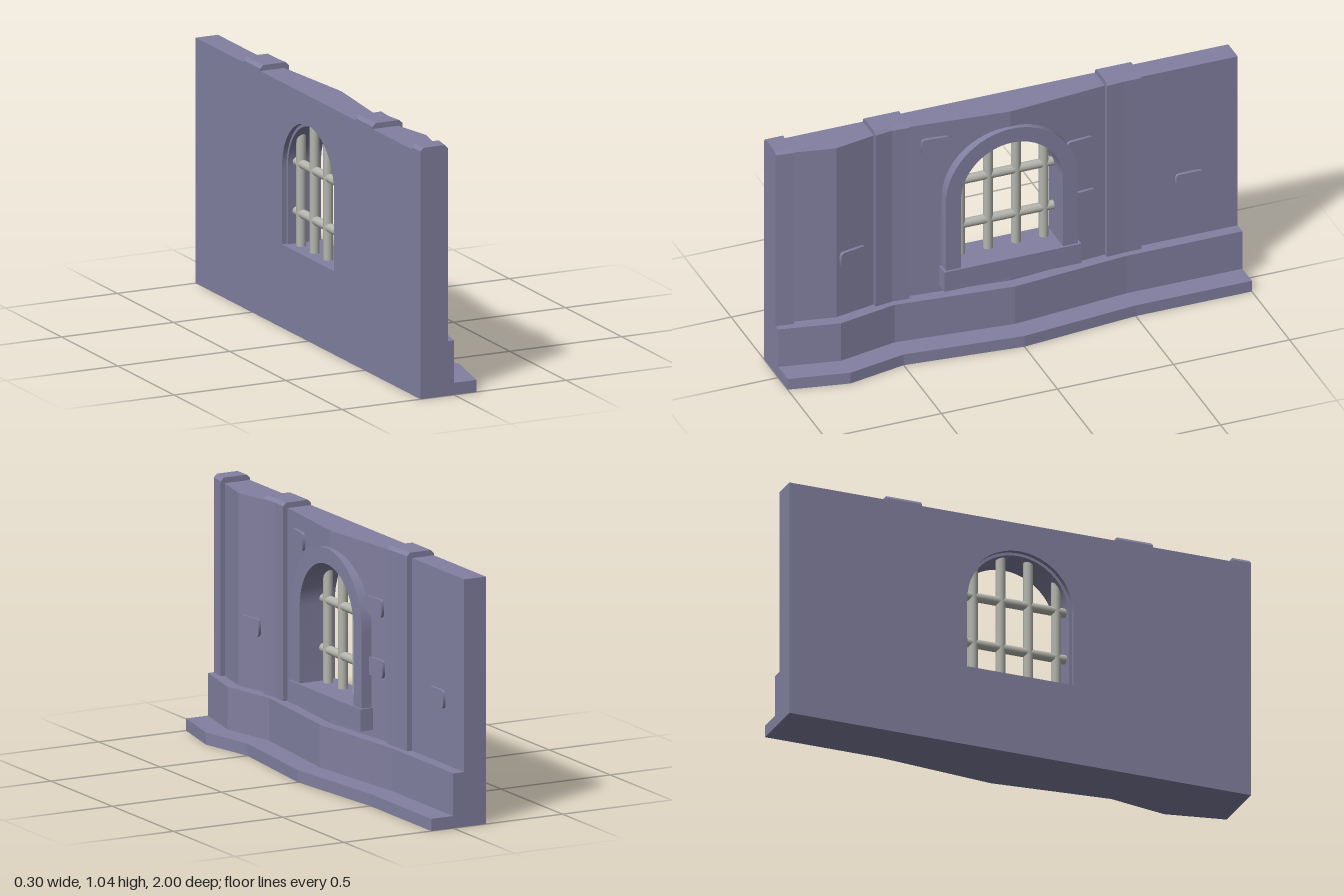
import * as THREE from 'three';
import { toCreasedNormals } from 'three/addons/utils/BufferGeometryUtils.js';

const BACK = -0.15, WALL_Y = 0.225, TOP = 1.015;
const ARCH_Y = 0.66, SILL_Y = 0.345;

// Front line of the wall in plan: [z, x]
const LINE = [[-1, -0.05], [-0.5, -0.05], [0, 0], [0.5, -0.05], [0.75, 0], [1, -0.05]];

function frontAt(z) {
  for (let i = 0; i < LINE.length - 1; i++) {
    const [z0, x0] = LINE[i], [z1, x1] = LINE[i + 1];
    if (z <= z1 + 1e-6) return x0 + (x1 - x0) * (z - z0) / (z1 - z0);
  }
  return LINE[LINE.length - 1][1];
}

// Extrude an elevation shape (drawn in -z, y) along x
function extrudeX(shape, x0, x1) {
  const g = new THREE.ExtrudeGeometry(shape, { depth: x1 - x0, bevelEnabled: false, curveSegments: 16 });
  g.rotateY(Math.PI / 2);
  g.translate(x0, 0, 0);
  return g;
}

// Move each vertex's x by a rule and refresh the normals
function bendX(g, rule) {
  const p = g.attributes.position;
  for (let i = 0; i < p.count; i++) p.setX(i, rule(p.getX(i), p.getZ(i)));
  g.computeVertexNormals();
  return g;
}

function archPath(target, r, bottom) {
  target.moveTo(-r, bottom);
  target.lineTo(r, bottom);
  target.lineTo(r, ARCH_Y);
  target.absarc(0, ARCH_Y, r, 0, Math.PI, false);
  target.lineTo(-r, bottom);
  return target;
}

export function createModel() {
  const group = new THREE.Group();
  const stone = new THREE.MeshStandardMaterial({ color: 0x8280a0 });
  stone.name = 'stone';
  const metal = new THREE.MeshStandardMaterial({ color: 0xb6b6af });
  metal.name = 'metal';

  function add(name, geometry, material = stone) {
    const mesh = new THREE.Mesh(geometry, material);
    mesh.name = name;
    group.add(mesh);
    return mesh;
  }

  // Wall panels, one per straight run, the two middle ones notched for the window
  const holeR = 0.232;
  for (let i = 0; i < LINE.length - 1; i++) {
    const a = -LINE[i + 1][0], b = -LINE[i][0];
    const s = new THREE.Shape();
    s.moveTo(a, WALL_Y);
    s.lineTo(b, WALL_Y);
    if (b === 0) {
      s.lineTo(0, SILL_Y);
      s.lineTo(-holeR, SILL_Y);
      s.lineTo(-holeR, ARCH_Y);
      s.absarc(0, ARCH_Y, holeR, Math.PI, Math.PI / 2, true);
    }
    s.lineTo(b, TOP);
    s.lineTo(a, TOP);
    if (a === 0) {
      s.lineTo(0, ARCH_Y + holeR);
      s.absarc(0, ARCH_Y, holeR, Math.PI / 2, 0, true);
      s.lineTo(holeR, SILL_Y);
      s.lineTo(0, SILL_Y);
    }
    s.closePath();
    const g = bendX(extrudeX(s, BACK, 0), (x, z) => (x > -0.1 ? frontAt(z) : x));
    add('wallPanel', toCreasedNormals(g, 0.4));
  }

  // Stepped plinth following the wall line
  function plinth(name, offset, y0, y1) {
    const s = new THREE.Shape();
    s.moveTo(BACK, 1);
    for (const [z, x] of LINE) s.lineTo(x + offset, -z);
    s.lineTo(BACK, -1);
    s.closePath();
    const g = new THREE.ExtrudeGeometry(s, { depth: y1 - y0, bevelEnabled: false });
    g.rotateX(-Math.PI / 2);
    g.translate(0, y0, 0);
    add(name, g);
  }
  plinth('footing', 0.15, 0, 0.05);
  plinth('plinth', 0.05, 0.05, WALL_Y);

  // Pillars with chamfered tops, fronts following the wall
  for (const [z0, z1] of [[0.925, 1], [0.425, 0.575], [-0.575, -0.425]]) {
    const f = -0.027, h = 1.038, c = 0.014;
    const s = new THREE.Shape([
      [BACK, WALL_Y], [f, WALL_Y], [f, h - c], [f - c, h], [BACK + c, h], [BACK, h - c],
    ].map(([x, y]) => new THREE.Vector2(x, y)));
    const g = new THREE.ExtrudeGeometry(s, { depth: z1 - z0, steps: 2, bevelEnabled: false });
    g.translate(0, 0, z0);
    add('pillar', bendX(g, (x, z) => (x > -0.1 ? x + 0.7 * (frontAt(z) + 0.05) : x)));
  }

  // Window surround and sill
  const ring = archPath(new THREE.Shape(), 0.285, SILL_Y - 0.01);
  ring.holes.push(archPath(new THREE.Path(), 0.22, SILL_Y - 0.005));
  add('windowSurround', toCreasedNormals(extrudeX(ring, -0.13, 0.018), 0.4));
  const sill = add('windowSill', new THREE.BoxGeometry(0.098, 0.09, 0.59));
  sill.position.set(-0.021, 0.3, 0);

  // Window bars
  for (const z of [-0.18, -0.06, 0.06, 0.18]) {
    const y0 = SILL_Y - 0.02;
    const y1 = ARCH_Y + Math.sqrt(0.25 ** 2 - z * z);
    const bar = add('uprightBar', new THREE.CylinderGeometry(0.02, 0.02, y1 - y0, 12), metal);
    bar.position.set(-0.09, (y0 + y1) / 2, z);
  }
  for (const y of [0.48, 0.685]) {
    const bar = add('crossBar', new THREE.CylinderGeometry(0.019, 0.019, 0.46, 12), metal);
    bar.rotation.x = Math.PI / 2;
    bar.position.set(-0.09, y, 0);
  }

  // Raised bricks with rounded corners, lying on the wall slope
  const w = 0.06, h = 0.037, r = 0.016;
  const brick = new THREE.Shape();
  brick.moveTo(-w + r, -h);
  brick.absarc(w - r, -h + r, r, -Math.PI / 2, 0, false);
  brick.absarc(w - r, h - r, r, 0, Math.PI / 2, false);
  brick.absarc(-w + r, h - r, r, Math.PI / 2, Math.PI, false);
  brick.absarc(-w + r, -h + r, r, Math.PI, Math.PI * 1.5, false);
  const brickGeometry = toCreasedNormals(extrudeX(brick, -0.02, 0.013), 0.6);
  for (const [z, y] of [[0.31, 0.913], [-0.31, 0.765], [-0.318, 0.518], [0.675, 0.485], [-0.79, 0.49]]) {
    const m = add('raisedBrick', brickGeometry);
    m.position.set(frontAt(z), y, z);
    m.rotation.y = Math.atan((frontAt(z + 0.02) - frontAt(z - 0.02)) / 0.04);
  }

  return group;
}
